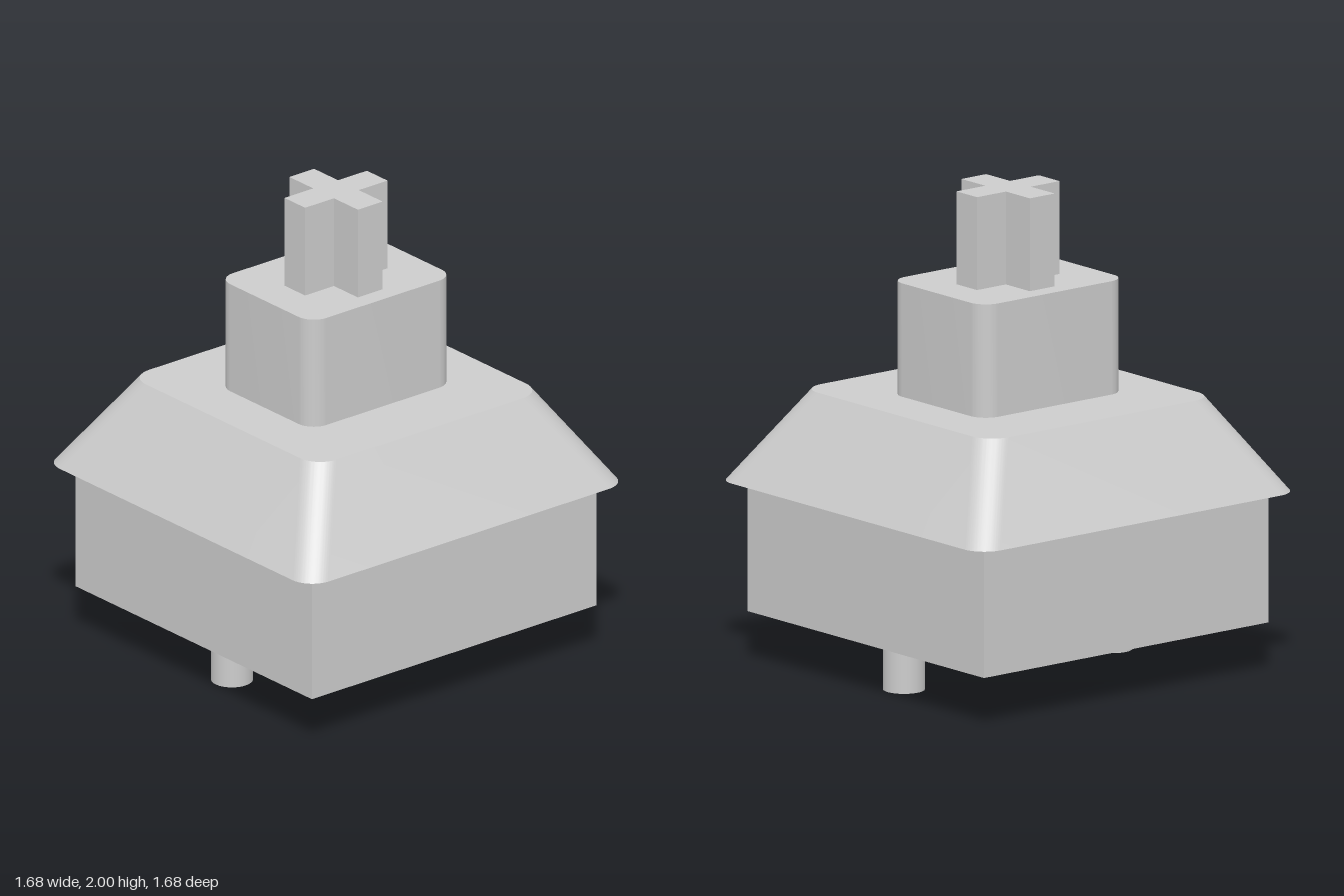
import * as THREE from 'three';
import { toCreasedNormals } from 'three/addons/utils/BufferGeometryUtils.js';

const grey = new THREE.MeshStandardMaterial({ color: 0xcccccc });
grey.name = 'grey';

// Rectangle outline with rounded corners, centred on the origin
function roundedRect(hx, hy, r) {
  const s = new THREE.Shape();
  s.absarc(hx - r, hy - r, r, 0, Math.PI / 2);
  s.absarc(-hx + r, hy - r, r, Math.PI / 2, Math.PI);
  s.absarc(-hx + r, -hy + r, r, Math.PI, Math.PI * 1.5);
  s.absarc(hx - r, -hy + r, r, Math.PI * 1.5, Math.PI * 2);
  s.closePath();
  return s;
}

// Plus-shaped outline
function plus(a, w) {
  return new THREE.Shape([
    [a, -w], [a, w], [w, w], [w, a], [-w, a], [-w, w],
    [-a, w], [-a, -w], [-w, -w], [-w, -a], [w, -a], [w, -w],
  ].map(([x, y]) => new THREE.Vector2(x, y)));
}

// Upright prism from y0 to y1; the foot is pushed outwards by flare
function prism(shape, y0, y1, flare = 0) {
  const geo = new THREE.ExtrudeGeometry(shape, { depth: y1 - y0, bevelEnabled: false, curveSegments: 16 });
  geo.rotateX(-Math.PI / 2);
  const p = geo.attributes.position;
  for (let i = 0; i < p.count; i++) {
    if (p.getY(i) < 1e-4) {
      p.setX(i, p.getX(i) + Math.sign(p.getX(i)) * flare);
      p.setZ(i, p.getZ(i) + Math.sign(p.getZ(i)) * flare);
    }
  }
  geo.translate(0, y0, 0);
  return toCreasedNormals(geo, 0.5);
}

export function createModel() {
  const group = new THREE.Group();
  group.name = 'keySwitch';
  const add = (name, geo) => {
    const mesh = new THREE.Mesh(geo, grey);
    mesh.name = name;
    group.add(mesh);
    return mesh;
  };

  // Square lower housing
  add('lowerHousing', new THREE.BoxGeometry(1.49, 0.545, 1.49)).position.y = 0.4875;

  // Sloped upper housing with rounded corners
  add('upperHousing', prism(roundedRect(0.592, 0.592, 0.105), 0.76, 1.145, 0.246));

  // Plunger block and cross-shaped stem
  add('plunger', prism(roundedRect(0.375, 0.295, 0.08), 1.145, 1.615));
  add('crossStem', prism(plus(0.216, 0.065), 1.615, 2));

  // Contact pins
  for (const [name, x] of [['leftPin', 0.545], ['rightPin', -0.545]]) {
    add(name, new THREE.CylinderGeometry(0.085, 0.085, 0.215, 32)).position.set(x, 0.1075, 0);
  }
  return group;
}
